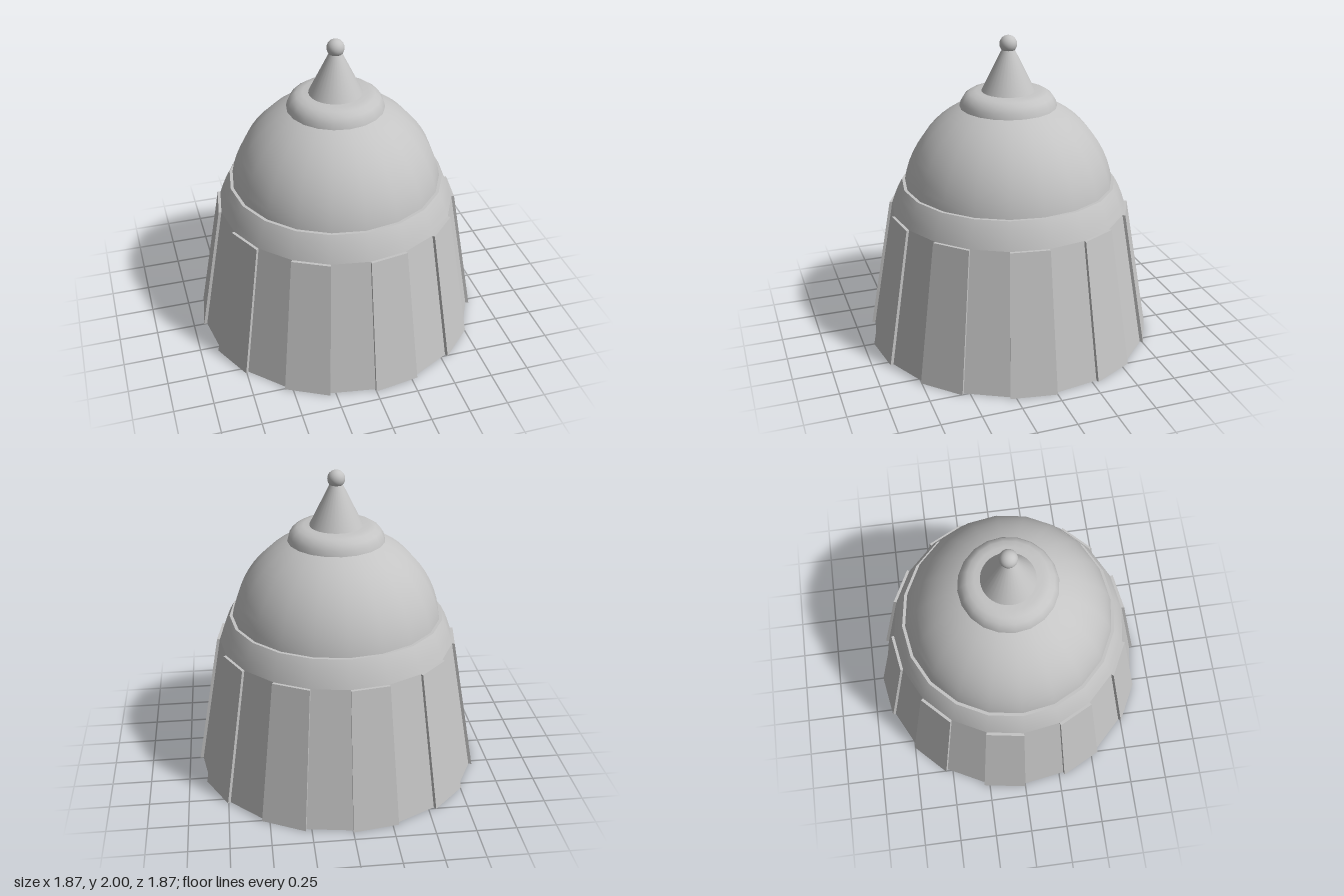
import * as THREE from 'three';
import { toCreasedNormals } from 'three/addons/utils/BufferGeometryUtils.js';
import { ConvexGeometry } from 'three/addons/geometries/ConvexGeometry.js';

const SIDES = 20;
const STEP = (Math.PI * 2) / SIDES;
const SKIRT_TOP = 0.895;

export function createModel() {
  const group = new THREE.Group();
  const stone = new THREE.MeshStandardMaterial({ color: 0xc4c4c4 });
  stone.name = 'pale grey stone';

  const add = (name, geometry, y = 0, parent = group) => {
    const mesh = new THREE.Mesh(geometry, stone);
    mesh.name = name;
    mesh.position.y = y;
    parent.add(mesh);
    return mesh;
  };
  const lathe = (points, crease = 0.6) => toCreasedNormals(
    new THREE.LatheGeometry(points.map(([r, y]) => new THREE.Vector2(r, y)), SIDES), crease);

  // Faceted tapering skirt
  add('skirt', toCreasedNormals(
    new THREE.CylinderGeometry(0.757, 0.912, SKIRT_TOP, SIDES), 0.1), SKIRT_TOP / 2);

  // Raised panels on every second facet
  const panels = new THREE.Group();
  panels.name = 'raisedPanels';
  group.add(panels);
  for (let i = 0; i < SIDES; i += 2) {
    const corners = [];
    for (const a of [i * STEP, (i + 1) * STEP]) {
      for (const [r, y] of [[0.89, 0], [0.933, 0], [0.735, SKIRT_TOP], [0.775, SKIRT_TOP]]) {
        corners.push(new THREE.Vector3(r * Math.sin(a), y, r * Math.cos(a)));
      }
    }
    add('raisedPanel', new ConvexGeometry(corners), 0, panels);
  }

  // Curved collar with a narrow ledge around the dome
  add('collar', lathe([[0.757, SKIRT_TOP], [0.738, 0.95], [0.714, 1.01], [0.687, 1.06], [0.64, 1.06]]));

  // Dome, the upper part of a sphere
  add('dome', new THREE.SphereGeometry(0.677, SIDES, 14, 0, Math.PI * 2, 0, 1.42), 0.95);

  // Rounded cap on the dome
  add('cap', lathe([[0.28, 1.55], [0.308, 1.55], [0.299, 1.585], [0.279, 1.618],
    [0.247, 1.641], [0.205, 1.65], [0, 1.65]]));

  // Spire and ball finial
  add('spire', new THREE.CylinderGeometry(0.04, 0.168, 0.26, 32), 1.78);
  add('finial', new THREE.SphereGeometry(0.055, 20, 14), 1.945);

  return group;
}
